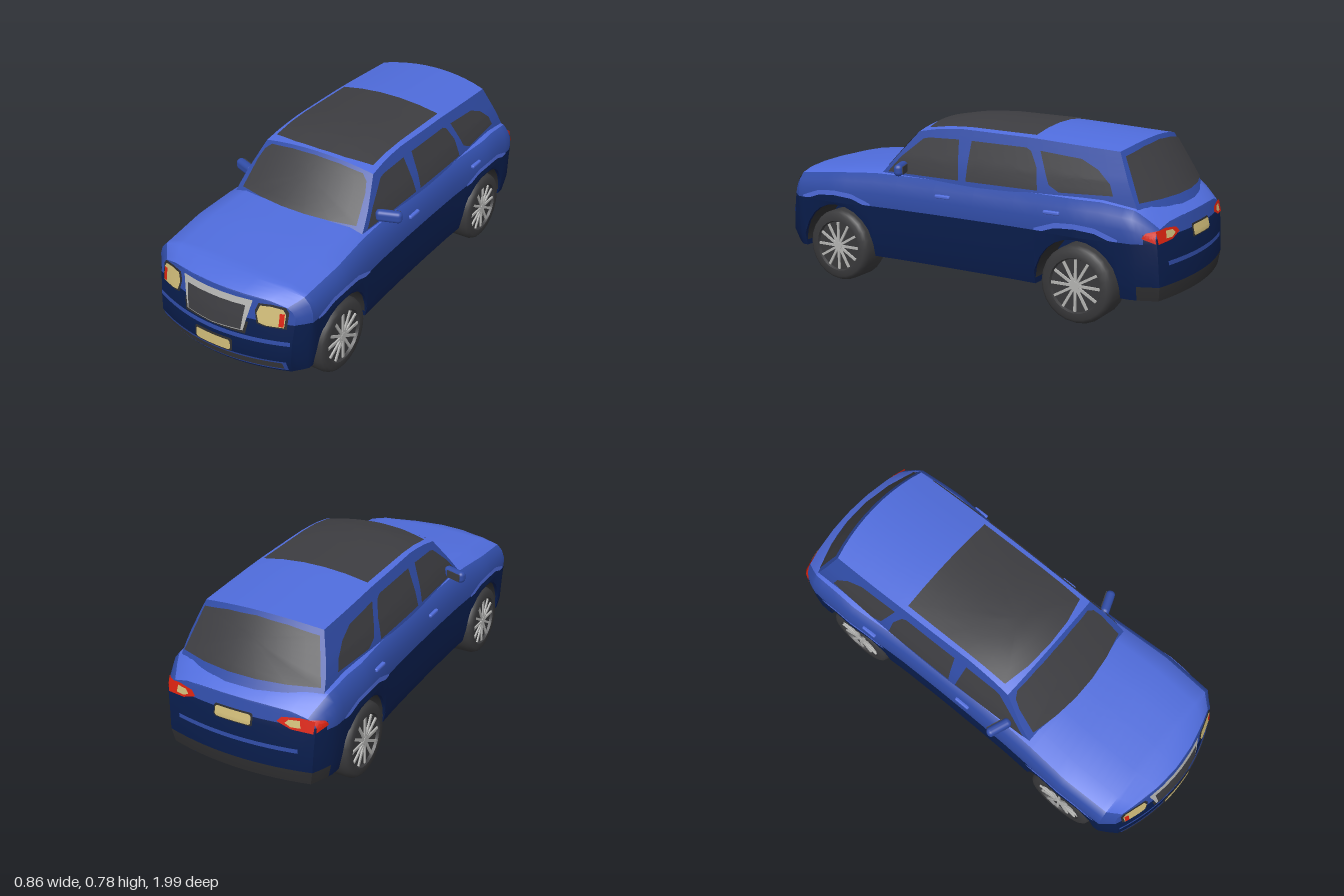
import * as THREE from 'three';
import { toCreasedNormals } from 'three/addons/utils/BufferGeometryUtils.js';
import { RoundedBoxGeometry } from 'three/addons/geometries/RoundedBoxGeometry.js';

const paint = (name, color) => {
  const m = new THREE.MeshStandardMaterial({ color, side: THREE.DoubleSide });
  m.name = name;
  return m;
};
function part(name, geo, mat, x = 0, y = 0, z = 0) {
  const m = new THREE.Mesh(geo, mat);
  m.name = name;
  m.position.set(x, y, z);
  return m;
}

// Piecewise linear lookup in [[key, value], ...]
function look(table, k) {
  let i = 1;
  while (i < table.length - 1 && k > table[i][0]) i++;
  const [a, b] = [table[i - 1], table[i]];
  return a[1] + (b[1] - a[1]) * (k - a[0]) / (b[0] - a[0]);
}

// Grid surface; pick(i, j) gives the material index of a cell
function grid(name, nu, nv, point, mats, pick = () => 0) {
  const pos = [], cells = mats.map(() => []), geo = new THREE.BufferGeometry();
  for (let i = 0; i <= nu; i++) for (let j = 0; j <= nv; j++) pos.push(...point(i, j));
  for (let i = 0; i < nu; i++) for (let j = 0; j < nv; j++) {
    const a = i * (nv + 1) + j, d = a + nv + 1;
    cells[pick(i, j)].push(a, a + 1, d + 1, a, d + 1, d);
  }
  geo.setAttribute('position', new THREE.Float32BufferAttribute(pos, 3));
  geo.setIndex(cells.flat());
  let start = 0;
  cells.forEach((c, m) => { geo.addGroup(start, c.length, m); start += c.length; });
  return part(name, toCreasedNormals(geo, 0.75), mats);
}

// Thin panel: an outline filled in rings and laid on a surface
function patch(name, outline, project, mat) {
  const pts = [], rings = 5, sub = 5;
  outline.forEach((p, i) => {
    const q = outline[(i + 1) % outline.length];
    for (let k = 0; k < sub; k++) pts.push([p[0] + (q[0] - p[0]) * k / sub, p[1] + (q[1] - p[1]) * k / sub]);
  });
  const n = pts.length, c = [0, 1].map(a => pts.reduce((s, p) => s + p[a], 0) / n);
  return grid(name, rings, n, (i, j) => {
    const p = pts[j % n], t = i / rings;
    return project(p[0] + (c[0] - p[0]) * t, p[1] + (c[1] - p[1]) * t);
  }, [mat]);
}
// Long thin panel between two edge curves
const strip = (name, x0, x1, lo, hi, project, mat) => grid(name, 2, 28, (i, j) => {
  const x = x0 + (x1 - x0) * j / 28;
  return project(x, lo(x) + (hi(x) - lo(x)) * i / 2);
}, [mat]);
const at = v => () => v;
// Rectangle with clipped corners
const rect = (w, y0, y1, c = .008) => [[-w + c, y0], [w - c, y0], [w, y0 + c], [w, y1 - c], [w - c, y1], [c - w, y1], [-w, y1 - c], [-w, y0 + c]];

// ---- lower body measures
const WHEELS = [0.62, -0.6], ARCH = 0.195, AXLE = 0.165;
const width = z => look([[-1, .345], [-.94, .368], [-.85, .388], [-.6, .4], [-.35, .38], [0, .375],
  [.35, .38], [.62, .398], [.84, .388], [.92, .372], [1, .34]], z);
const deck = z => look([[-1, .46], [-.95, .495], [-.86, .53], [-.7, .55], [.42, .55], [.6, .537], [.85, .51], [.94, .493], [1, .475]], z);
const noseZ = y => look([[.14, .965], [.2, .99], [.29, .985], [.375, .972], [.475, .95]], y);
const tailZ = y => look([[.14, -.985], [.2, -.995], [.29, -.99], [.375, -.985], [.46, -.965]], y);
const frontZ = (x, y) => noseZ(y) - .1 * (x / .39) ** 2;
const backZ = (x, y) => tailZ(y) + .06 * (x / .39) ** 2;
const sillY = z => {
  const d = Math.min(...WHEELS.map(c => Math.abs(z - c)));
  return d <= ARCH + 2e-4 ? AXLE + Math.sqrt(Math.max(0, ARCH * ARCH - d * d)) : .14;
};
// Half section from floor centre to deck centre
function section(s) {
  const w = width(s), b = sillY(s), top = deck(s), sh = top - .03, up = t => .375 + (sh - .375) * t;
  return [[0, .14], [.21, .14], [.21, b], [w * .94, b], [w * .975, Math.max(b, .2)], [w * .985, Math.max(b, .29)],
    [w, .375], [w, up(.4)], [w * .965, up(.75)], [w * .9, sh], [w * .7, top - .01], [w * .35, top - .002], [0, top]];
}
function bodyPoint(s, x, y) {
  const k = Math.max(0, Math.abs(s) - .84) / .16;
  const end = s > 0 ? frontZ(x, y) : backZ(x, y);
  return [x, y, k ? Math.sign(s) * .84 * (1 - k) + end * k : s];
}
const onBody = o => (s, y) => bodyPoint(s, look(section(s).slice(6, 10).map(p => [p[1], p[0]]), y) + o, y);

// ---- cabin measures
const sideX = (z, y) => look([[.48, .352], [.55, .338], [.6, .325], [.7, .289], [.735, .276], [.77, .26]], y)
  - .015 * ((z + .25) / .65) ** 2;
const screenZ = (x, y) => look([[.545, .43], [.735, .25]], y) - .05 * (x / .32) ** 2;
const hatchZ = (x, y) => look([[.5, -.92], [.745, -.77]], y) + .07 * (x / .33) ** 2;
const roofY = (x, z) => look([[-.77, .745], [-.35, .767], [0, .773], [.12, .766], [.25, .743]], z) - .03 * (x / .27) ** 2;
function corner(endZ, y) {
  let x = .33, z = 0;
  for (let k = 0; k < 5; k++) { z = endZ(x, y); x = sideX(z, y); }
  return [x, z];
}
const F = 5, S = 14;
// Plan position of wall column c (front centre, round the side, to rear centre)
function wall(c, y) {
  if (c <= F || c >= F + S) {
    const endZ = c <= F ? screenZ : hatchZ, u = (c <= F ? c : 2 * F + S - c) / F;
    const x = corner(endZ, y)[0] * u;
    return [x, endZ(x, y)];
  }
  const a = corner(screenZ, y)[1], b = corner(hatchZ, y)[1], z = a + (b - a) * (c - F) / S;
  return [sideX(z, y), z];
}
function wallTop(c) {
  let y = .72;
  for (let k = 0; k < 8; k++) y = roofY(...wall(c, y));
  const [x, z] = wall(c, y);
  return [x, y, z];
}

export function createModel() {
  const car = new THREE.Group();
  car.name = 'car';
  const blue = paint('upperBlue', 0x4f6cdc), side = paint('sideBlue', 0x304ca6), navy = paint('navy', 0x091d4c);
  const glass = paint('darkGlass', 0x3d3d41), rubber = paint('rubber', 0x39393b), trim = paint('blackTrim', 0x2e2e30);
  const silver = paint('silver', 0xb4b4b2), cream = paint('cream', 0xcfbb78), red = paint('red', 0xd8220f);
  const add = (...m) => car.add(...m);
  const pair = make => { const a = make(), b = make(); b.scale.x = -1; add(a, b); };

  // Body shell with open wheel arches
  const stations = [-1, -.97, -.93, -.88, -.84, -.3, -.1, .1, .3, .84, .88, .93, .97, 1];
  for (const c of WHEELS) {
    stations.push(c - ARCH - .001, c + ARCH + .001);
    for (let k = 0; k <= 12; k++) stations.push(c + ARCH * Math.cos(Math.PI * k / 12));
  }
  stations.sort((a, b) => a - b);
  add(grid('bodyShell', stations.length - 1, 24, (i, j) => {
    const s = stations[i], [x, y] = section(s)[j <= 12 ? j : 24 - j];
    return bodyPoint(s, j <= 12 ? x : -x, y);
  }, [navy, side, blue, trim], (i, j) => {
    const r = j < 12 ? j : 23 - j, mid = (stations[i] + stations[i + 1]) / 2;
    if (r === 2) return sillY(mid) > .15 ? 3 : 0;
    if (r === 3 && mid < -.86) return 3;
    return r < (mid < -.93 ? 7 : 6) ? 0 : r < 9 ? 1 : 2;
  }));

  // Nose and tail faces
  for (const e of [1, -1]) {
    const rows = section(e).slice(3);
    add(grid(e > 0 ? 'noseFace' : 'tailFace', rows.length - 1, 14, (i, j) => {
      const [w, y] = rows[i], x = e * w * (j / 7 - 1);
      return [x, y, e > 0 ? frontZ(x, y) : backZ(x, y)];
    }, [navy, side, trim], i => (e > 0 ? (i < 3 ? 0 : 1) : i === 0 ? 2 : i < 4 ? 0 : 1)));
  }

  // Bright lips over the wheel arches, with the dark sides rising beneath
  for (const c of WHEELS) {
    const hi = z => look([[0, .428], [.09, .421], [.19, .386]], Math.abs(z - c));
    const lo = z => Math.max(.377, hi(z) - .022);
    pair(() => strip('archLip', c - .19, c + .19, lo, hi, onBody(.005), blue));
    pair(() => strip('archPanel', c - .17, c + .17, at(.373), lo, onBody(.004), navy));
  }

  // Cabin walls and roof
  const n = 2 * F + S;
  add(grid('cabinWalls', 10, 2 * n, (i, j) => {
    const c = j <= n ? j : 2 * n - j, y = .48 + (wallTop(c)[1] - .48) * i / 10, [x, z] = wall(c, y);
    return [j <= n ? x : -x, y, z];
  }, [side]));
  add(grid('roof', S, 2 * F, (i, j) => {
    const u = Math.abs(j - F), [xe, , ze] = wallTop(F + i), t = i / S;
    const x = xe * (j - F) / F;
    const z = ze + (wallTop(u)[2] - wallTop(F)[2]) * (1 - t) + (wallTop(n - u)[2] - wallTop(n - F)[2]) * t;
    return [x, roofY(x, z), z];
  }, [blue]));

  // Glazing
  const onSide = (z, y) => [sideX(z, y) + .005, y, z];
  const sideWindows = {
    frontWindow: [[.365, .532], [.3, .605], [.2, .688], [.17, .695], [.015, .7], [-.012, .532]],
    rearDoorWindow: [[-.05, .532], [-.05, .7], [-.32, .697], [-.345, .685], [-.385, .62], [-.4, .532]],
    quarterWindow: [[-.388, .69], [-.58, .675], [-.66, .64], [-.72, .59], [-.74, .545], [-.5, .535], [-.45, .56]],
  };
  for (const k in sideWindows) pair(() => patch(k, sideWindows[k], onSide, glass));
  add(patch('windscreen', [[-.295, .547], [.295, .547], [.278, .65], [.262, .69], [.235, .712], [.12, .727], [0, .732],
    [-.12, .727], [-.235, .712], [-.262, .69], [-.278, .65]], (x, y) => [x, y + .003, screenZ(x, y) + .005], glass));
  add(patch('rearWindow', [[-.32, .522], [.32, .522], [.268, .695], [.14, .718], [0, .728], [-.14, .718], [-.268, .695]],
    (x, y) => [x, y + .003, hatchZ(x, y) - .006], glass));
  add(patch('roofGlass', [[-.25, .195], [-.13, .222], [0, .23], [.13, .222], [.25, .195], [.252, -.345], [-.252, -.345]],
    (x, z) => [x, roofY(x, z) + .005, z], glass));

  // Front details
  const nose = o => (x, y) => [x, y, frontZ(x, y) + o];
  const tail = o => (x, y) => [x, y, backZ(x, y) - o];
  add(patch('grilleBase', [[-.15, .305], [.15, .305], [.16, .36], [-.16, .36]], nose(.003), trim));
  add(patch('grilleSurround', [[-.14, .318], [0, .311], [.14, .318], [.172, .456], [-.172, .456]], nose(.005), silver));
  add(patch('grille', [[-.132, .323], [0, .316], [.132, .323], [.145, .43], [-.145, .43]], nose(.008), glass));
  add(strip('intakeRim', -.315, .315, at(.152), at(.204), nose(.004), side));
  add(strip('lowerIntake', -.302, .302, at(.163), at(.2), nose(.007), glass));
  add(strip('bumperCrease', -.33, .33, at(.281), at(.3), nose(.004), side));
  const lamp = [[.205, .37], [.235, .363], [.305, .363], [.308, .42], [.295, .44], [.25, .446], [.205, .443], [.193, .41]];
  const frame = lamp.map(([x, y]) => [x + Math.sign(x - .25) * .009, y + Math.sign(y - .405) * .007]);
  pair(() => patch('headlightFrame', frame, nose(.004), trim));
  pair(() => patch('headlight', lamp, nose(.007), cream));
  pair(() => patch('frontIndicator', [[.285, .368], [.304, .368], [.304, .423], [.285, .423]], nose(.009), red));
  add(patch('frontPlateFrame', rect(.094, .203, .265), nose(.005), trim));
  add(patch('frontPlate', rect(.086, .211, .257), nose(.009), cream));

  // Rear details
  pair(() => patch('tailLight', [[.19, .405], [.25, .382], [.34, .375], [.343, .425], [.28, .432], [.21, .425]], tail(.004), red));
  pair(() => patch('tailLightSide', [[-1, .377], [-1, .426], [-.95, .42], [-.925, .4]], onBody(.004), red));
  pair(() => patch('reverseLight', [[.225, .405], [.25, .392], [.29, .392], [.285, .422], [.24, .42]], tail(.007), cream));
  add(patch('rearPlateFrame', rect(.09, .357, .413), tail(.004), trim));
  add(patch('rearPlate', rect(.083, .363, .407), tail(.007), cream));
  add(strip('rearCrease', -.28, .28, at(.28), at(.298), tail(.004), side));

  // Door handles
  for (const z of [.05, -.49]) pair(() => {
    const g = new THREE.Group();
    g.name = 'doorHandle';
    g.add(part('handleBar', new RoundedBoxGeometry(.018, .016, .075, 2, .006), blue, width(z) * .985 + .002, .458, z));
    return g;
  });

  // Door mirrors
  pair(() => {
    const g = new THREE.Group(), arm = new THREE.Group();
    g.name = 'doorMirror';
    arm.name = 'mirrorArm';
    arm.position.set(.375, .561, .265);
    arm.rotation.y = .36;
    arm.add(part('mirrorShell', new RoundedBoxGeometry(.115, .052, .04, 3, .018), side),
      part('mirrorGlass', new THREE.BoxGeometry(.075, .034, .004), glass, .01, 0, -.021));
    g.add(arm);
    return g;
  });

  // Wheels: tyre, spokes and hub
  const profile = [[0, -.0825], [.14, -.0825], [.157, -.073], [.165, -.055], [.165, .055], [.157, .073], [.145, .082],
    [.117, .082], [.112, .07], [0, .07]].map(p => new THREE.Vector2(...p));
  const tyreGeo = toCreasedNormals(new THREE.LatheGeometry(profile, 24), .7);
  const spokeGeo = new THREE.BoxGeometry(.1, .007, .011);
  for (const z of WHEELS) pair(() => {
    const g = new THREE.Group(), wheel = new THREE.Group();
    g.name = z > 0 ? 'frontWheel' : 'rearWheel';
    wheel.name = 'wheelAssembly';
    wheel.position.set(.3045, AXLE, z);
    wheel.rotation.z = -Math.PI / 2;
    wheel.add(part('tyre', tyreGeo, rubber), part('hub', new THREE.CylinderGeometry(.018, .02, .012, 12), silver, 0, .074, 0));
    for (let k = 0; k < 12; k++) {
      const a = k * Math.PI / 6;
      const spoke = part('spoke', spokeGeo, silver, Math.cos(a) * .06, .075, Math.sin(a) * .06);
      spoke.rotation.y = -a;
      wheel.add(spoke);
    }
    g.add(wheel);
    return g;
  });
  return car;
}
